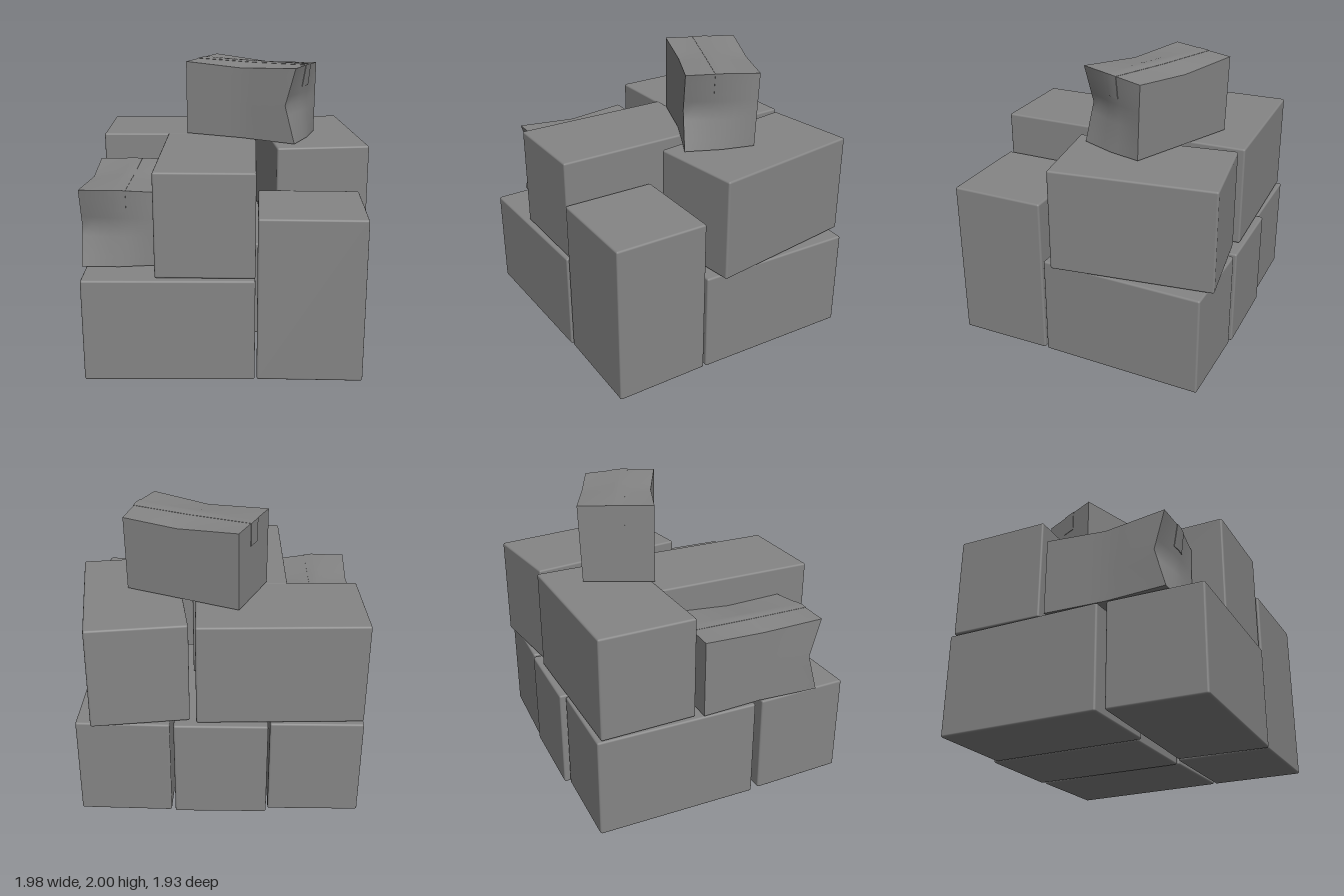
import * as THREE from 'three';
import { RoundedBoxGeometry } from 'three/addons/geometries/RoundedBoxGeometry.js';

const card = new THREE.MeshStandardMaterial({ color: 0x858585 });

// Dented carton size
const W = 0.51, H = 0.54, L = 0.87;

const tent = t => Math.max(0, 1 - Math.abs(t));

// Crush a carton-space geometry: pinched side, sagging top, pushed-in front corners
function crush(geometry) {
  const p = geometry.attributes.position;
  for (let i = 0; i < p.count; i++) {
    let x = p.getX(i), y = p.getY(i), z = p.getZ(i);
    const u = x / (W / 2), v = y / (H / 2), w = z / (L / 2);
    const left = Math.max(0, u), right = Math.max(0, -u);
    const front = Math.max(0, w), top = Math.max(0, v);
    x += 0.025 * right * tent(w) - 0.01 * left * (1 - v);
    y -= top * (tent(w) * (0.025 * right + 0.035 * left) + 0.02 * front * left);
    z -= front * (0.038 * (1 - u) * tent(v) + 0.035 * left);
    p.setXYZ(i, x, y, z);
  }
  geometry.computeVertexNormals();
  return geometry;
}

// Soft-edged carton placed by its base centre
function carton(name, size, base, turn) {
  const mesh = new THREE.Mesh(new RoundedBoxGeometry(...size, 2, 0.014), card);
  mesh.name = name;
  mesh.position.set(base[0], base[1] + size[1] / 2, base[2]);
  mesh.rotation.y = turn;
  return mesh;
}

// Crushed carton with a tape strip over the top and down both ends
function dentedCarton(name, base, turn) {
  const group = new THREE.Group();
  group.name = name;
  const body = new THREE.Mesh(crush(new THREE.BoxGeometry(W, H, L, 8, 8, 8)), card);
  body.name = 'cartonBody';
  const strip = new THREE.BoxGeometry(0.115, 0.16, L + 0.008, 4, 4, 8);
  strip.translate(0, H / 2 - 0.08 + 0.002, 0);
  const tape = new THREE.Mesh(crush(strip), card);
  tape.name = 'tape';
  group.add(body, tape);
  group.position.set(base[0], base[1] + H / 2, base[2]);
  group.rotation.y = turn;
  return group;
}

export function createModel() {
  const model = new THREE.Group();
  model.name = 'cartonStack';

  // [name, [width, height, depth], [x, base y, z], turn]
  const cartons = [
    // Bottom layer
    ['bottomFrontCarton', [1.15, 0.72, 0.66], [-0.397, 0.004, 0.615], 0.03],
    ['bottomLeftCarton', [0.635, 0.72, 1.15], [0.615, 0.004, -0.343], -0.025],
    ['bottomMiddleCarton', [0.635, 0.72, 1.145], [-0.032, 0.004, -0.365], 0],
    ['bottomRightCarton', [0.63, 0.72, 1.145], [-0.678, 0.004, -0.328], 0],
    // Carton standing on end
    ['uprightCarton', [0.715, 1.145, 0.665], [0.558, 0.004, 0.588], 0],
    // Upper layer
    ['upperBackCarton', [1.125, 0.72, 0.67], [-0.42, 0.73, -0.555], 0.03],
    ['upperLeftCarton', [0.665, 0.72, 1.12], [0.583, 0.73, -0.365], 0.14],
    ['upperMiddleCarton', [0.665, 0.72, 1.145], [-0.15, 0.73, 0.338], 0.01],
  ];
  for (const c of cartons) model.add(carton(...c));

  // Two crushed cartons, one beside and one on top of the upper layer
  model.add(dentedCarton('sideDentedCarton', [-0.738, 0.732, 0.286], 0));
  model.add(dentedCarton('topDentedCarton', [0.157, 1.457, -0.275], 1.16));
  return model;
}
